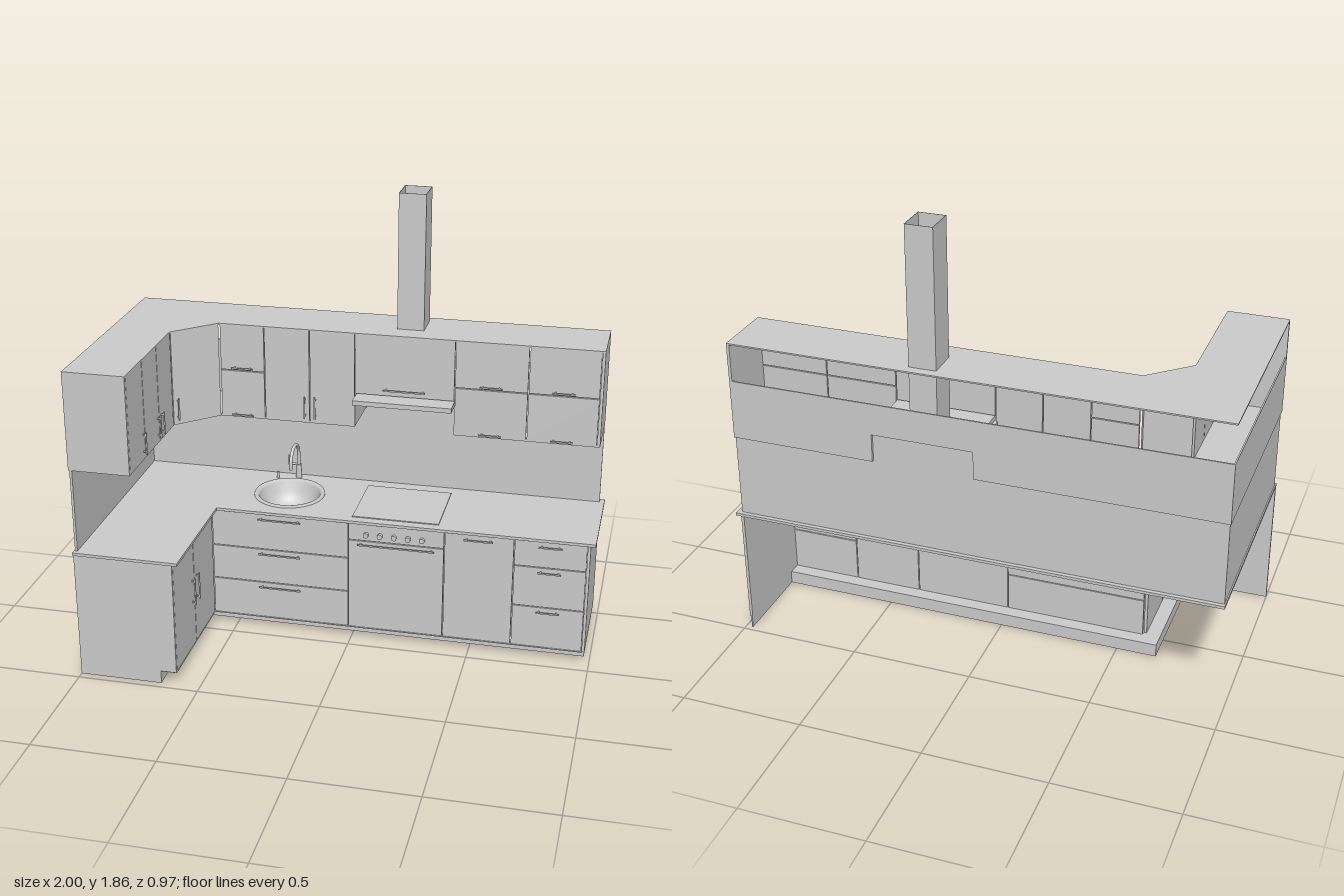
import * as THREE from 'three';

const mat = new THREE.MeshStandardMaterial({ color: 0xcccccc, side: THREE.DoubleSide });
const T = 0.012; // board thickness

function add(parent, name, geometry, x = 0, y = 0, z = 0) {
  const m = new THREE.Mesh(geometry, mat);
  m.name = name;
  m.position.set(x, y, z);
  parent.add(m);
  return m;
}

// Box given by its limits
function box(parent, name, x0, x1, y0, y1, z0, z1) {
  return add(parent, name, new THREE.BoxGeometry(x1 - x0, y1 - y0, z1 - z0),
    (x0 + x1) / 2, (y0 + y1) / 2, (z0 + z1) / 2);
}

function outline(points) {
  return new THREE.Shape(points.map(([a, b]) => new THREE.Vector2(a, b)));
}

// Upright board cut to an x/y outline
function uprightBoard(parent, name, points, z, depth) {
  return add(parent, name, new THREE.ExtrudeGeometry(outline(points), { depth, bevelEnabled: false }), 0, 0, z);
}

// Level slab cut to an x/z outline, with an optional round hole
function slab(parent, name, points, y, height, hole) {
  const s = outline(points.map(([x, z]) => [x, -z]));
  if (hole) s.holes.push(new THREE.Path().absarc(hole.x, -hole.z, hole.r, 0, Math.PI * 2, true));
  const g = new THREE.ExtrudeGeometry(s, { depth: height, bevelEnabled: false, curveSegments: 32 });
  g.rotateX(-Math.PI / 2);
  return add(parent, name, g, 0, y, 0);
}

// A plane of cabinet fronts: local x runs along it, local z points into the room
function run(parent, name, x, z, angle) {
  const g = new THREE.Group();
  g.name = name;
  g.position.set(x, 0, z);
  g.rotation.y = angle;
  parent.add(g);
  return g;
}

const GAP = 0.002;
function front(group, name, u0, u1, y0, y1) {
  box(group, name, u0 + GAP, u1 - GAP, y0 + GAP, y1 - GAP, -T, 0);
}

// Bar handle on two short posts
function handle(group, u, y, length, upright = false) {
  const h = new THREE.Group();
  h.name = 'handle';
  h.position.set(u, y, 0);
  if (upright) h.rotation.z = Math.PI / 2;
  box(h, 'handleBar', -length / 2, length / 2, -0.003, 0.003, 0.011, 0.016);
  for (const s of [-1, 1]) {
    const c = s * (length / 2 - 0.012);
    box(h, 'handlePost', c - 0.003, c + 0.003, -0.003, 0.003, 0, 0.012);
  }
  group.add(h);
}

// Stack of fronts sharing one column, each with a level handle
function stack(group, name, u0, u1, levels, handles, length) {
  for (let i = 0; i < levels.length - 1; i++) {
    front(group, name, u0, u1, levels[i + 1], levels[i]);
    handle(group, (u0 + u1) / 2, handles[i], length);
  }
}

function baseCabinets(root) {
  const g = new THREE.Group();
  g.name = 'baseCabinets';
  root.add(g);
  const B = 0.055, H = 0.535;

  const main = run(g, 'mainBaseFronts', 0, -0.055, 0);
  stack(main, 'drawerFront', -0.595, -0.01, [H, 0.375, 0.22, B], [0.515, 0.355, 0.2], 0.18);
  front(main, 'ovenControlPanel', -0.01, 0.39, 0.46, H);
  front(main, 'ovenDoor', -0.01, 0.39, B, 0.46);
  handle(main, 0.19, 0.445, 0.32);
  for (let i = 0; i < 5; i++) {
    const knob = add(main, 'ovenKnob', new THREE.CylinderGeometry(0.011, 0.011, 0.014, 20),
      0.065 + i * 0.0585, 0.49, 0.007);
    knob.rotation.x = Math.PI / 2;
  }
  front(main, 'baseDoor', 0.39, 0.675, B, H);
  handle(main, 0.53, 0.515, 0.12);
  stack(main, 'drawerFront', 0.675, 0.968, [H, 0.42, 0.24, B], [0.515, 0.4, 0.22], 0.095);

  const arm = run(g, 'armBaseFronts', -0.595, 0, Math.PI / 2);
  front(arm, 'baseDoor', -0.458, -0.205, B, H);
  front(arm, 'baseDoor', -0.205, 0.055, B, H);
  handle(arm, -0.235, 0.3, 0.12, true);
  handle(arm, -0.18, 0.3, 0.12, true);

  // End boards, the arm's one notched for the toe space
  box(g, 'rightEndBoard', 0.968, 0.98, B, 0.54, -0.48, -0.055);
  uprightBoard(g, 'armEndBoard',
    [[-1, 0], [-0.66, 0], [-0.66, B], [-0.595, B], [-0.595, 0.54], [-1, 0.54]], 0.458, T);

  // Set-back plinth and the ledge above it
  box(g, 'plinth', -0.66, 0.975, 0, B, -0.12, -0.115);
  box(g, 'plinth', -0.665, -0.66, 0, B, -0.12, 0.465);
  box(g, 'plinthReturn', 0.97, 0.975, 0, B, -0.48, -0.115);
  slab(g, 'plinthLedge', [[-0.665, -0.12], [0.97, -0.12], [0.97, -0.055], [-0.595, -0.055],
    [-0.595, 0.465], [-0.665, 0.465]], 0.051, 0.004);
}

function worktop(root) {
  const sink = { x: -0.31, z: -0.255, r: 0.135 };
  slab(root, 'worktop', [[-1, -0.485], [1, -0.485], [1, -0.045], [-0.57, -0.045],
    [-0.57, 0.48], [-1, 0.48]], 0.538, 0.012, sink);
  box(root, 'cooktop', 0, 0.36, 0.55, 0.554, -0.4, -0.085);

  // Round sink with a flat rim and a drain
  const profile = [[0.15, 0.55], [0.149, 0.555], [0.133, 0.555], [0.128, 0.545], [0.118, 0.51],
    [0.102, 0.475], [0.08, 0.457], [0.05, 0.45], [0.001, 0.449]].map(([r, y]) => new THREE.Vector2(r, y));
  add(root, 'sinkBowl', new THREE.LatheGeometry(profile, 40), sink.x, 0, sink.z);
  add(root, 'sinkDrain', new THREE.CylinderGeometry(0.022, 0.018, 0.022, 20), sink.x, 0.442, sink.z);

  // Swan-neck tap with side lever
  const path = new THREE.CurvePath();
  const v = (y, z) => new THREE.Vector3(-0.314, y, z);
  const arc = [];
  for (let i = 0; i <= 12; i++) {
    const a = (Math.PI * 1.06 * i) / 12;
    arc.push(v(0.655 + 0.069 * Math.sin(a), -0.36 - 0.069 * Math.cos(a)));
  }
  path.add(new THREE.LineCurve3(v(0.55, -0.429), arc[0]));
  path.add(new THREE.CatmullRomCurve3(arc));
  add(root, 'tapSpout', new THREE.TubeGeometry(path, 48, 0.007, 12), 0, 0, 0);
  add(root, 'tapBase', new THREE.CylinderGeometry(0.011, 0.013, 0.06, 20), -0.314, 0.58, -0.429);
  const lever = add(root, 'tapLever', new THREE.CylinderGeometry(0.005, 0.005, 0.045, 12), -0.335, 0.61, -0.429);
  lever.rotation.z = Math.PI / 2;
  add(root, 'leverTip', new THREE.CylinderGeometry(0.003, 0.003, 0.045, 10), -0.357, 0.628, -0.429);
  add(root, 'drainKnob', new THREE.CylinderGeometry(0.006, 0.006, 0.03, 16), -0.4, 0.565, -0.4);
}

function wallCabinets(root) {
  const g = new THREE.Group();
  g.name = 'wallCabinets';
  root.add(g);
  const B = 0.895, H = 1.3, F = -0.22, L = -0.02, R = 0.39;
  const corner = [[-0.59, F], [-0.75, -0.07], [-0.75, 0.46], [-1, 0.46], [-1, -0.48]];

  // Shell
  slab(g, 'cabinetTop', [[0.98, -0.48], [0.98, F], ...corner], H - 0.006, 0.006);
  slab(g, 'cabinetBottom', [[L, -0.48], [L, F], ...corner], B, 0.008);
  box(g, 'cabinetBottom', R, 0.98, B, B + 0.008, -0.48, F);
  box(g, 'hoodCabinetBottom', L, R, 1.01, 1.018, -0.48, F);
  box(g, 'hoodBaySide', L - 0.008, L, B, 1.018, -0.48, F);
  box(g, 'hoodBaySide', R, R + 0.008, B, 1.018, -0.48, F);
  box(g, 'rightEndBoard', 0.968, 0.98, B, H, -0.48, F);
  box(g, 'armEndBoard', -1, -0.75, B, H, 0.448, 0.46);

  // Back boards stop short of the top
  uprightBoard(g, 'backBoard', [[-1, B], [L, B], [L, 1.01], [R, 1.01], [R, B], [0.968, B],
    [0.968, 1.14], [-1, 1.14]], -0.48, 0.006);
  box(g, 'armBackBoard', -1, -0.994, B, 1.14, -0.48, 0.46);

  // Main run fronts
  const main = run(g, 'mainWallFronts', 0, F, 0);
  const rows = [H - 0.004, 1.1, B], grips = [1.113, 0.908];
  stack(main, 'liftDoor', -0.588, -0.4, rows, grips, 0.09);
  front(main, 'wallDoor', -0.4, -0.21, B, H - 0.004);
  front(main, 'wallDoor', -0.21, L, B, H - 0.004);
  handle(main, -0.23, 0.965, 0.095, true);
  handle(main, -0.187, 0.965, 0.095, true);
  stack(main, 'hoodDoor', L, R, [H - 0.004, 1.04], [1.068], 0.175);
  stack(main, 'liftDoor', R, 0.685, rows, grips, 0.09);
  stack(main, 'liftDoor', 0.685, 0.968, rows, grips, 0.09);

  // Diagonal corner front
  const diag = run(g, 'cornerFront', -0.67, -0.145, Math.atan2(0.15, 0.16));
  front(diag, 'cornerDoor', -0.109, 0.109, B, H - 0.004);
  handle(diag, -0.088, 0.965, 0.095, true);

  // Arm fronts
  const arm = run(g, 'armWallFronts', -0.75, 0, Math.PI / 2);
  for (const [a, b, h] of [[-0.448, -0.27, -0.295], [-0.27, -0.1, -0.12], [-0.1, 0.07, -0.078]]) {
    front(arm, 'wallDoor', a, b, B, H - 0.004);
    handle(arm, h, 0.965, 0.095, true);
  }
}

function hood(root) {
  box(root, 'hoodVisor', -0.015, 0.39, 1.018, 1.038, -0.3, -0.145);
  // Open square duct
  const [x0, x1, z0, z1, y0, y1, t] = [0.135, 0.245, -0.44, -0.31, 1.03, 1.86, 0.002];
  box(root, 'ductWall', x0, x0 + t, y0, y1, z0, z1);
  box(root, 'ductWall', x1 - t, x1, y0, y1, z0, z1);
  box(root, 'ductWall', x0, x1, y0, y1, z0, z0 + t);
  box(root, 'ductWall', x0, x1, y0, y1, z1 - t, z1);
}

export function createModel() {
  const root = new THREE.Group();
  root.name = 'cornerKitchen';
  baseCabinets(root);
  worktop(root);
  wallCabinets(root);
  hood(root);
  // Wall panels between worktop and wall cabinets
  uprightBoard(root, 'splashback', [[-0.995, 0.55], [0.98, 0.55], [0.98, 0.895], [0.39, 0.895],
    [0.39, 1.01], [-0.02, 1.01], [-0.02, 0.895], [-0.995, 0.895]], -0.468, 0.01);
  box(root, 'armSplashback', -0.995, -0.985, 0.55, 0.895, -0.458, 0.46);
  return root;
}
